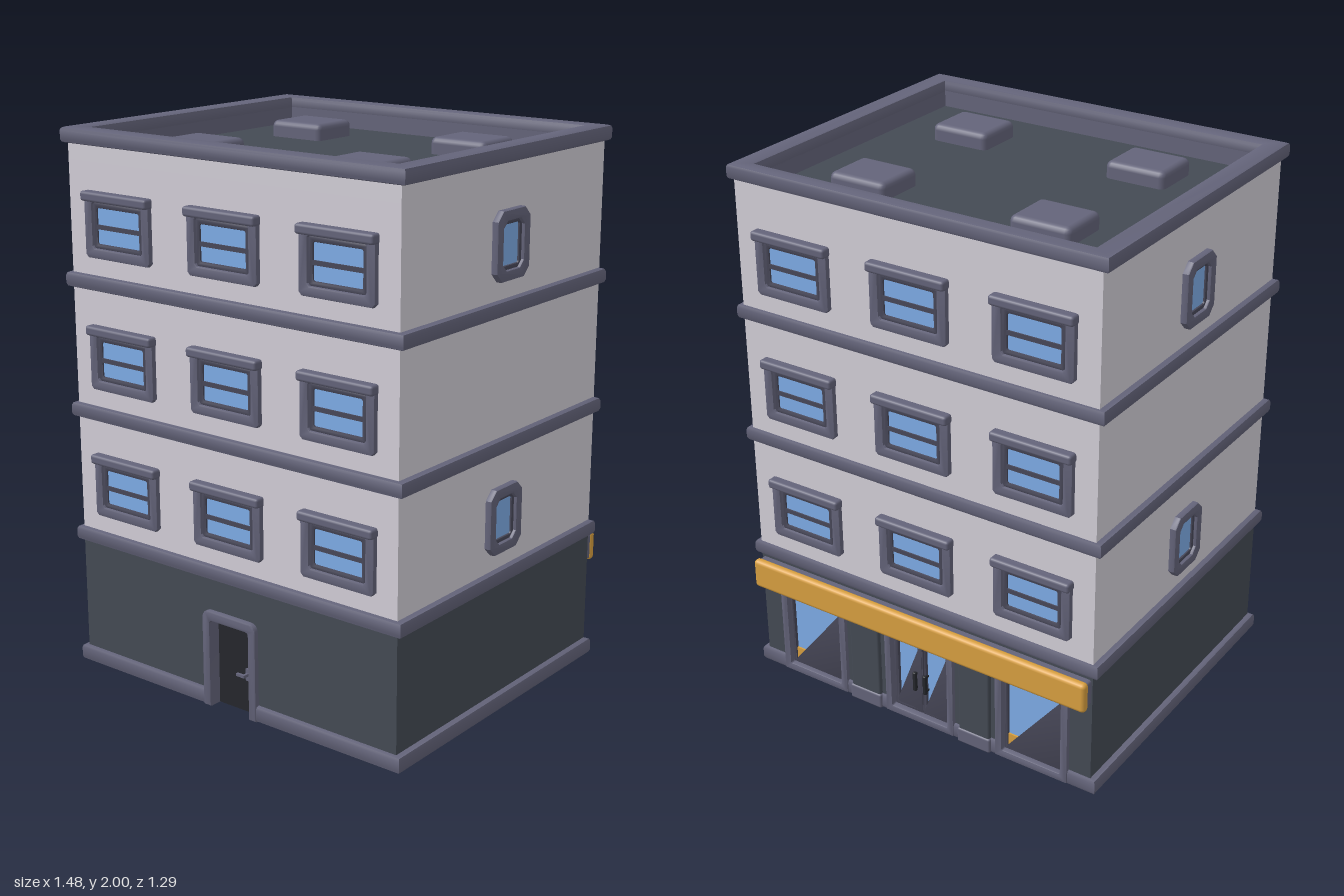
import * as THREE from 'three';
import { toCreasedNormals } from 'three/addons/utils/BufferGeometryUtils.js';
import { RoundedBoxGeometry } from 'three/addons/geometries/RoundedBoxGeometry.js';

const mat = (name, color, side = THREE.FrontSide) => {
  const m = new THREE.MeshStandardMaterial({ color, side });
  m.name = name;
  return m;
};

export function createModel() {
  const wall = mat('pale plaster', 0xd3cfd8);
  const trim = mat('purple grey trim', 0x64647a);
  const dark = mat('dark ground floor', 0x444a54);
  const inner = mat('dark window frame', 0x484859);
  const glass = mat('blue glass', 0x7fade8);
  const gold = mat('golden yellow', 0xd9a040);
  const black = mat('black door', 0x25272c);

  const model = new THREE.Group();
  model.name = 'building';
  const FRONT = 0.61, BACK = -0.59, SIDE = 0.715;

  function add(parent, name, geo, material, x = 0, y = 0, z = 0) {
    const m = new THREE.Mesh(geo, material);
    m.name = name;
    m.position.set(x, y, z);
    parent.add(m);
    return m;
  }
  function group(parent, name, x, y, z, turn = 0) {
    const g = new THREE.Group();
    g.name = name;
    g.position.set(x, y, z);
    g.rotation.y = turn;
    parent.add(g);
    return g;
  }
  const box = (w, h, d) => new THREE.BoxGeometry(w, h, d);
  const soft = (w, h, d, r) => new RoundedBoxGeometry(w, h, d, 2, r);
  const poly = (pts, Type = THREE.Shape) => new Type(pts.map(p => new THREE.Vector2(p[0], p[1])));

  // Rectangle with cut corners, centred on the origin
  function cutRect(w, h, c, Type) {
    const x = w / 2, y = h / 2;
    return poly([[-x + c, -y], [x - c, -y], [x, -y + c], [x, y - c],
      [x - c, y], [-x + c, y], [-x, y - c], [-x, -y + c]], Type);
  }
  // Bevelled solid whose front lies at z = depth
  function solid(shape, depth, b = 0.006) {
    return toCreasedNormals(new THREE.ExtrudeGeometry(shape, {
      depth: depth - b, bevelEnabled: b > 0, bevelSize: b, bevelThickness: b,
      bevelOffset: -b, bevelSegments: 2, curveSegments: 6,
    }), 0.7);
  }
  function frame(w, h, t, depth, cut = 0.012) {
    const s = cutRect(w, h, cut);
    s.holes.push(cutRect(w - 2 * t, h - 2 * t, cut * 0.7, THREE.Path));
    return solid(s, depth);
  }
  // Floor plan between y0 and y1, optionally with entrance and shopfront notches
  function plan(grow, y0, y1, b, notched, hole) {
    const x = SIDE + grow, f = -(FRONT + grow * 0.65), k = -(BACK - grow * 0.45);
    const pts = [[-x, f]];
    if (notched) pts.push([-0.095, f], [-0.095, -0.57], [0.095, -0.57], [0.095, f]);
    pts.push([x, f], [x, k]);
    if (notched) {
      for (const [c, w] of [[0.478, 0.13], [0, 0.135], [-0.478, 0.13]]) {
        pts.push([c + w, k], [c + w, 0.56], [c - w, 0.56], [c - w, k]);
      }
    }
    pts.push([-x, k]);
    const s = poly(pts);
    if (hole) {
      const [hx, hf, hb] = hole;
      s.holes.push(poly([[-hx, -hf], [-hx, -hb], [hx, -hb], [hx, -hf]], THREE.Path));
    }
    const g = solid(s, y1 - y0 - b, b);
    return g.rotateX(-Math.PI / 2).translate(0, y0 + b, 0);
  }

  // Main walls and horizontal bands
  const parapetHole = [0.66, 0.555, -0.54];
  add(model, 'groundFloorLower', plan(0, 0.01, 0.335, 0, true), dark);
  add(model, 'groundFloorUpper', plan(0, 0.335, 0.5, 0), dark);
  add(model, 'upperWalls', plan(0, 0.5, 1.89, 0), wall);
  add(model, 'parapetWall', plan(0, 1.89, 1.96, 0, false, [0.69, 0.585, -0.565]), wall);
  add(model, 'parapetLining', plan(-0.01, 1.88, 1.96, 0, false, parapetHole), trim);
  add(model, 'baseBand', plan(0.023, 0, 0.06, 0.012, true), trim);
  for (const y of [0.48, 0.955, 1.435]) {
    add(model, 'floorBand', plan(0.023, y, y + 0.056, 0.014), trim);
  }
  add(model, 'parapetCap', plan(0.023, 1.945, 2, 0.012, false, parapetHole), trim);

  // Roof with four vents
  add(model, 'roof', box(1.34, 0.02, 1.11), dark, 0, 1.89, 0.008);
  for (const x of [-0.36, 0.36]) {
    for (const z of [-0.292, 0.308]) {
      add(model, 'roofVent', soft(0.23, 0.09, 0.195, 0.022), trim, x, 1.915, z);
    }
  }

  // Wide window with two horizontal panes and a lintel
  function wideWindow(x, y, z, turn) {
    const g = group(model, 'wideWindow', x, y, z, turn);
    add(g, 'outerFrame', frame(0.305, 0.235, 0.036, 0.018), trim);
    add(g, 'innerFrame', frame(0.236, 0.165, 0.02, 0.01, 0.006), inner, 0, -0.003);
    add(g, 'glass', box(0.21, 0.14, 0.006), glass, 0, -0.003, 0.001);
    add(g, 'crossBar', box(0.21, 0.016, 0.012), inner, 0, -0.006, 0.003);
    add(g, 'lintel', soft(0.312, 0.035, 0.044, 0.01), trim, 0, 0.1, 0.013);
  }
  // Narrow window with cut corners
  function sideWindow(y, s) {
    const g = group(model, 'sideWindow', s * SIDE, y, 0.013, s * Math.PI / 2);
    add(g, 'outerFrame', frame(0.195, 0.237, 0.036, 0.024, 0.032), trim);
    add(g, 'innerFrame', frame(0.132, 0.172, 0.018, 0.012, 0.006), inner);
    add(g, 'glass', box(0.11, 0.15, 0.006), glass, 0, 0, 0.002);
  }
  for (const y of [0.718, 1.195, 1.673]) {
    for (const x of [-0.478, 0, 0.478]) {
      wideWindow(x, y, FRONT, 0);
      wideWindow(x, y, BACK, Math.PI);
    }
  }
  for (const y of [0.718, 1.673]) for (const s of [-1, 1]) sideWindow(y, s);

  // Front entrance
  const door = group(model, 'frontEntrance', 0, 0, 0);
  const arch = (w, h, r) => {
    const s = new THREE.Shape();
    s.moveTo(-w, 0).lineTo(w, 0).lineTo(w, h - r);
    s.quadraticCurveTo(w, h, w - r, h).lineTo(-w + r, h);
    s.quadraticCurveTo(-w, h, -w, h - r).lineTo(-w, 0);
    return s;
  };
  const surround = new THREE.Shape();
  surround.moveTo(-0.122, 0).lineTo(-0.088, 0).lineTo(-0.088, 0.315);
  surround.quadraticCurveTo(-0.088, 0.328, -0.075, 0.328).lineTo(0.075, 0.328);
  surround.quadraticCurveTo(0.088, 0.328, 0.088, 0.315).lineTo(0.088, 0).lineTo(0.122, 0);
  surround.lineTo(0.122, 0.33).quadraticCurveTo(0.122, 0.365, 0.087, 0.365).lineTo(-0.087, 0.365);
  surround.quadraticCurveTo(-0.122, 0.365, -0.122, 0.33).lineTo(-0.122, 0);
  add(door, 'doorSurround', solid(surround, 0.058), trim, 0, 0, 0.57);
  add(door, 'doorLeaf', solid(arch(0.092, 0.332, 0.01), 0.008, 0), black, 0, 0, 0.57);
  add(door, 'doorPlate', box(0.016, 0.045, 0.008), trim, 0.05, 0.145, 0.582);
  add(door, 'doorLever', box(0.036, 0.01, 0.01), trim, 0.036, 0.147, 0.605);
  add(door, 'leverStem', box(0.01, 0.01, 0.03), trim, 0.05, 0.147, 0.594);

  // Shopfront, built facing +z and turned to the back
  const shop = group(model, 'shopfront', 0, 0, BACK, Math.PI);
  add(shop, 'signBacking', soft(1.42, 0.1, 0.06, 0.01), trim, 0, 0.42, 0.005);
  add(shop, 'signBoard', soft(1.43, 0.115, 0.034, 0.015), gold, 0, 0.42, 0.038);
  for (const s of [-1, 1]) {
    const w = group(shop, 'shopWindow', s * 0.478, 0.185, -0.03);
    add(w, 'windowFrame', frame(0.3, 0.36, 0.03, 0.045, 0.004), trim);
    add(w, 'windowInnerFrame', frame(0.242, 0.302, 0.014, 0.025, 0.003), inner);
    add(w, 'glass', box(0.24, 0.3, 0.008), glass, 0, 0, 0.008);
    add(w, 'lowerPanel', box(0.214, 0.05, 0.009), gold, 0, -0.112, 0.014);
    add(shop, 'pillar', soft(0.13, 0.33, 0.03, 0.008), dark, s * 0.24, 0.2, 0);
    add(shop, 'pillarFoot', soft(0.14, 0.06, 0.04, 0.008), trim, s * 0.24, 0.03, 0);
  }
  const entry = group(shop, 'shopDoor', 0, 0.185, -0.03);
  add(entry, 'doorFrame', frame(0.3, 0.36, 0.028, 0.045, 0.004), trim);
  for (const s of [-1, 1]) {
    add(entry, 'doorLeaf', frame(0.124, 0.306, 0.02, 0.022, 0.003), inner, s * 0.061);
    add(entry, 'doorGlass', box(0.1, 0.28, 0.008), glass, s * 0.061, 0, 0.006);
    add(entry, 'pullHandle', soft(0.014, 0.08, 0.014, 0.004), black, s * 0.022, -0.01, 0.034);
    for (const y of [-0.04, 0.02]) add(entry, 'handleStem', box(0.008, 0.008, 0.02), black, s * 0.022, y, 0.024);
  }
  return model;
}
